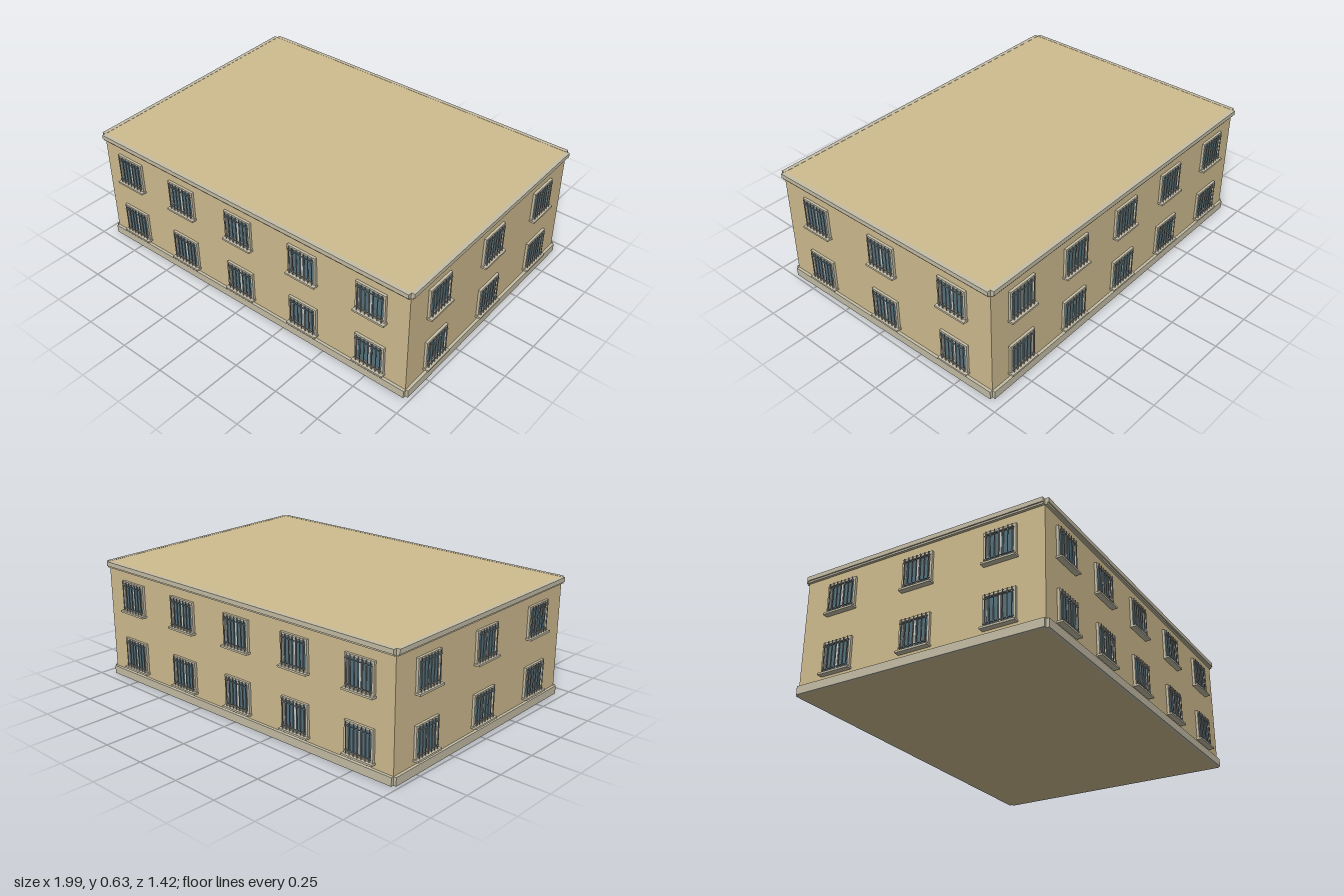
import * as THREE from 'three';
import { mergeGeometries } from 'three/addons/utils/BufferGeometryUtils.js';

const W = 1.91, D = 1.329, H = 0.629;          // wall block
const FW = 0.166, FH = 0.165;                  // window surround
const mat = (color) => new THREE.MeshStandardMaterial({ color });
const wallMat = mat(0xcfbc8f), trimMat = mat(0xc4bda6), frameMat = mat(0xc8cac4);
const glassMat = mat(0x56727c), barMat = mat(0x8f9698);

// Box given by its centre x, y and its z range
function box(w, h, x, y, z0, z1) {
  return new THREE.BoxGeometry(w, h, z1 - z0).translate(x, y, (z0 + z1) / 2);
}

// Rectangular ring standing on z0
function ring(w, h, t, z0, z1) {
  const rect = (S, a, b) => new S([[-a, -b], [a, -b], [a, b], [-a, b]].map(([x, y]) => new THREE.Vector2(x, y)));
  const shape = rect(THREE.Shape, w / 2, h / 2);
  shape.holes.push(rect(THREE.Path, w / 2 - t, h / 2 - t));
  return new THREE.ExtrudeGeometry(shape, { depth: z1 - z0, bevelEnabled: false }).translate(0, 0, z0);
}

// Window geometry, shared by every opening; z = 0 is the wall face
function windowParts() {
  const inner = FW - 0.024, innerH = FH - 0.024;
  const leaves = [-1, 1].map((s) => ring(inner / 2, innerH, 0.005, 0, 0.006).translate(s * inner / 4, 0, 0));
  const bars = [];
  for (let i = 0; i < 7; i++) bars.push(box(0.004, FH - 0.004, (i - 3) * 0.0225, 0, 0.017, 0.021));
  for (const y of [-0.06, 0.06]) bars.push(box(FW - 0.012, 0.003, 0, y, 0.016, 0.02));
  // stays that hold the grille off the surround
  for (const x of [-0.0675, 0.0675]) for (const y of [-0.06, 0.06]) bars.push(box(0.004, 0.004, x, y, 0, 0.018));
  return [
    ['surround', ring(FW, FH, 0.012, 0, 0.013), trimMat],
    ['casements', mergeGeometries(leaves), frameMat],
    ['glass', box(inner, innerH, 0, 0, -0.004, 0.003), glassMat],
    ['grille', mergeGeometries(bars), barMat],
    ['sill', box(FW + 0.01, 0.01, 0, -FH / 2 + 0.001, 0, 0.03), trimMat],
  ];
}

export function createModel() {
  const model = new THREE.Group();
  model.name = 'building';
  const add = (parent, name, geo, material) => {
    const m = new THREE.Mesh(geo, material);
    m.name = name;
    parent.add(m);
  };

  add(model, 'wallBlock', new THREE.BoxGeometry(W, H, D).translate(0, H / 2, 0), wallMat);

  const parts = windowParts();
  const sideX = [-0.443, 0, 0.443];
  const facades = [
    { name: 'front', angle: 0, len: W, out: D / 2, xs: [-0.776, -0.415, -0.038, 0.36, 0.753] },
    { name: 'left', angle: Math.PI / 2, len: D, out: W / 2, xs: sideX },
    { name: 'back', angle: Math.PI, len: W, out: D / 2, xs: [-0.76, -0.38, 0.005, 0.383, 0.767] },
    { name: 'right', angle: -Math.PI / 2, len: D, out: W / 2, xs: sideX },
  ];

  for (const f of facades) {
    const side = new THREE.Group();
    side.name = f.name + 'Facade';
    side.rotation.y = f.angle;
    const face = new THREE.Group();
    face.position.z = f.out;
    side.add(face);

    // Bands stop at the wall ends, leaving notched corners
    add(face, 'plinth', box(f.len, 0.043, 0, 0.0215, -0.005, 0.015), trimMat);
    add(face, 'corniceStep', box(f.len, 0.01, 0, 0.603, -0.005, 0.013), trimMat);
    add(face, 'cornice', box(f.len, 0.023, 0, 0.6185, -0.002, 0.019), trimMat);

    // Two storeys of barred windows
    for (const y of [0.15, 0.465]) for (const x of f.xs) {
      const win = new THREE.Group();
      win.name = 'window';
      win.position.set(x, y, 0);
      for (const [name, geo, material] of parts) add(win, name, geo, material);
      face.add(win);
    }
    model.add(side);
  }

  // The whole block stands slightly turned
  model.rotation.y = 0.0205;
  const root = new THREE.Group();
  root.add(model);
  return root;
}
